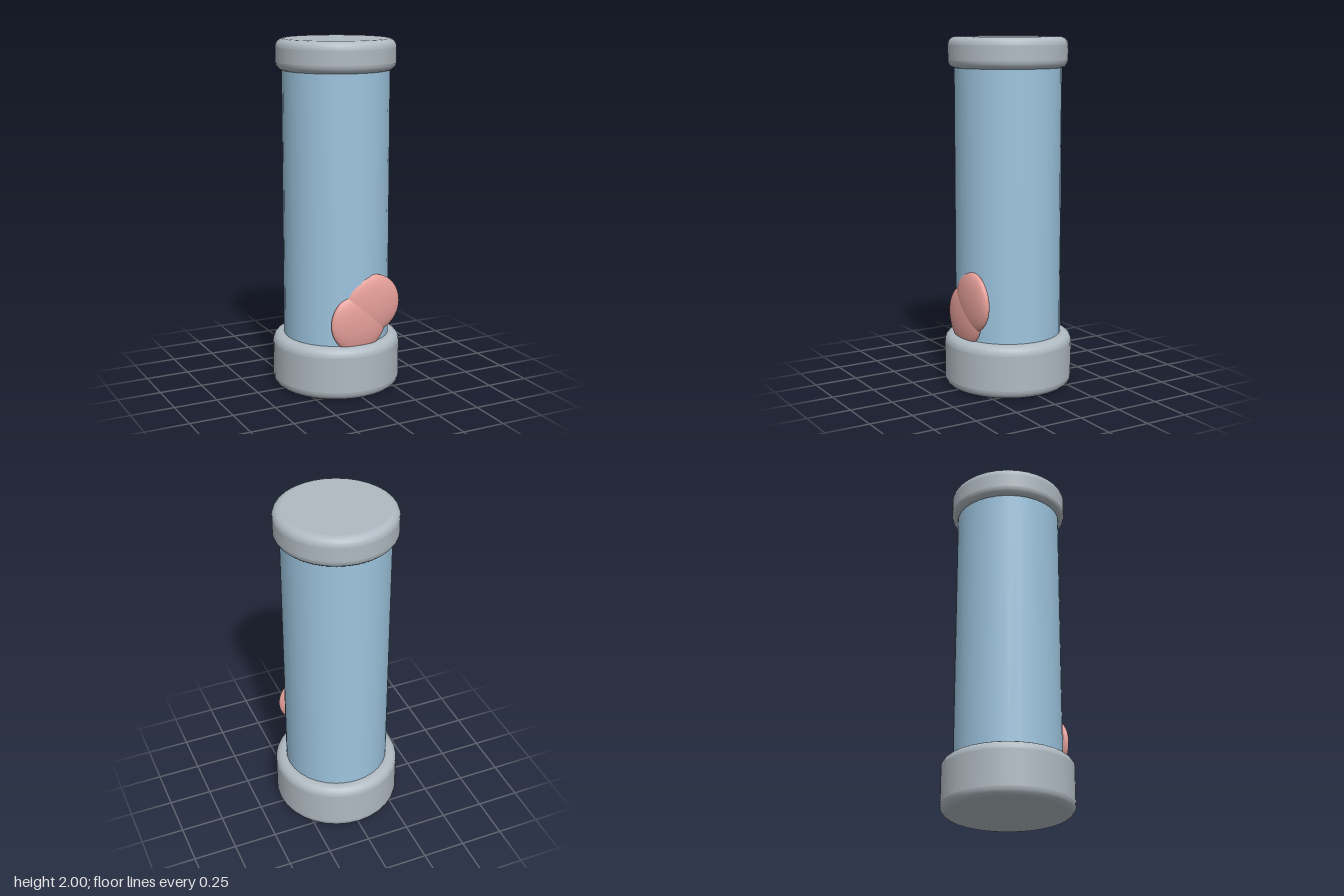
import * as THREE from 'three';

const material = (name, color) => {
  const m = new THREE.MeshStandardMaterial({ color });
  m.name = name;
  return m;
};

// Closed round disc with softly rounded rims, from y0 to y1
function roundedDisc(radius, y0, y1, bevel) {
  const steps = 5, e = 0.002, inner = radius - bevel;
  const pts = [new THREE.Vector2(0, y0), new THREE.Vector2(inner - e, y0)];
  const arc = (cy, from) => {
    for (let i = 0; i <= steps; i++) {
      const a = from + (i / steps) * Math.PI / 2;
      pts.push(new THREE.Vector2(inner + bevel * Math.cos(a), cy + bevel * Math.sin(a)));
    }
  };
  arc(y0 + bevel, -Math.PI / 2);
  pts.push(new THREE.Vector2(radius, y0 + bevel + e), new THREE.Vector2(radius, y1 - bevel - e));
  arc(y1 - bevel, 0);
  pts.push(new THREE.Vector2(inner - e, y1), new THREE.Vector2(0, y1));
  return new THREE.LatheGeometry(pts, 32);
}

export function createModel() {
  const group = new THREE.Group();
  const grey = material('grey cap', 0xb0bac2);
  const blue = material('blue tube', 0x9dc4de);
  const pink = material('pink lobe', 0xeaa29c);

  const add = (name, geometry, mat) => {
    const mesh = new THREE.Mesh(geometry, mat);
    mesh.name = name;
    group.add(mesh);
    return mesh;
  };

  // Base, body and lid
  add('base', roundedDisc(0.368, 0, 0.305, 0.05), grey);
  add('tube', new THREE.CylinderGeometry(0.303, 0.303, 1.7, 32), blue).position.y = 1.05;
  add('lid', roundedDisc(0.338, 1.825, 2, 0.045), grey);

  // Two flattened lobes set into the front of the tube
  const lobe = new THREE.SphereGeometry(1, 32, 24);
  [['lowerLobe', 0, 0.43], ['upperLobe', 0.088, 0.53]].forEach(([name, x, y]) => {
    const mesh = add(name, lobe, pink);
    mesh.position.set(x, y, 0.284);
    mesh.scale.set(0.17, 0.17, 0.044);
  });

  return group;
}
